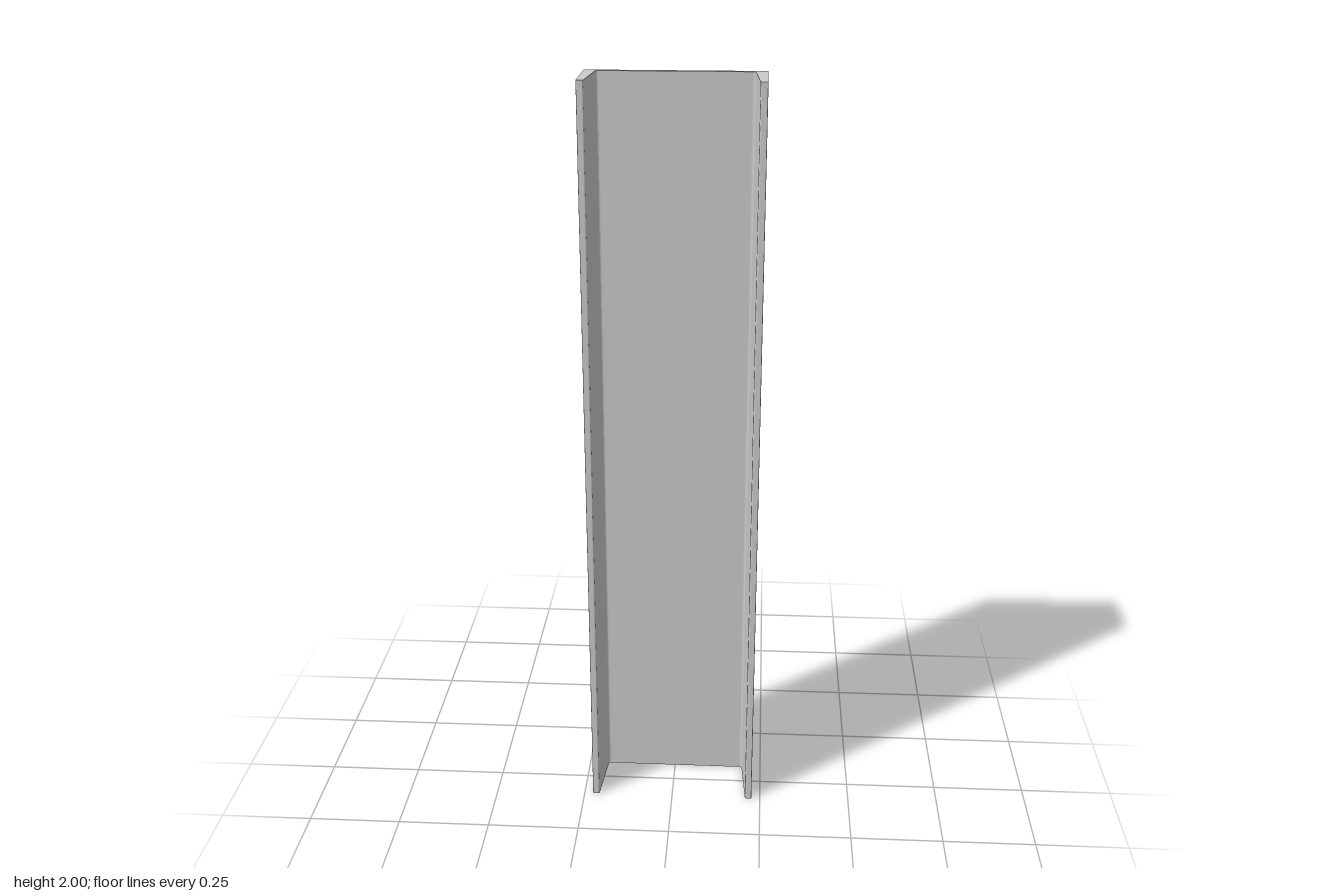
import * as THREE from 'three';

export function createModel() {
  const W = 0.226, D = 0.085, H = 2; // half width, half depth, height
  const webFront = 0.07;             // inner face of the web (profile y = -z)

  // Channel cross-section: flat web with two tapered flanges
  const s = new THREE.Shape();
  s.moveTo(-W, D);
  s.lineTo(-W, -D + 0.002);
  s.quadraticCurveTo(-W, -D, -W + 0.002, -D);
  s.lineTo(-0.212, -D);
  s.quadraticCurveTo(-0.208, -D, -0.2075, -D + 0.005); // rounded flange toe
  s.lineTo(-0.196, webFront - 0.007);
  s.quadraticCurveTo(-0.195, webFront, -0.188, webFront); // root fillet
  s.lineTo(0.188, webFront);
  s.quadraticCurveTo(0.195, webFront, 0.196, webFront - 0.007);
  s.lineTo(0.2075, -D + 0.005);
  s.quadraticCurveTo(0.208, -D, 0.212, -D);
  s.lineTo(W - 0.002, -D);
  s.quadraticCurveTo(W, -D, W, -D + 0.002);
  s.lineTo(W, D);
  s.closePath();

  // Extrude upright
  const geometry = new THREE.ExtrudeGeometry(s, { depth: H, bevelEnabled: false, curveSegments: 4 });
  geometry.rotateX(-Math.PI / 2);

  const beam = new THREE.Mesh(geometry, new THREE.MeshStandardMaterial({ color: 0xcccccc }));
  beam.name = 'channelBeam';

  const group = new THREE.Group();
  group.name = 'steelChannel';
  group.add(beam);
  return group;
}
